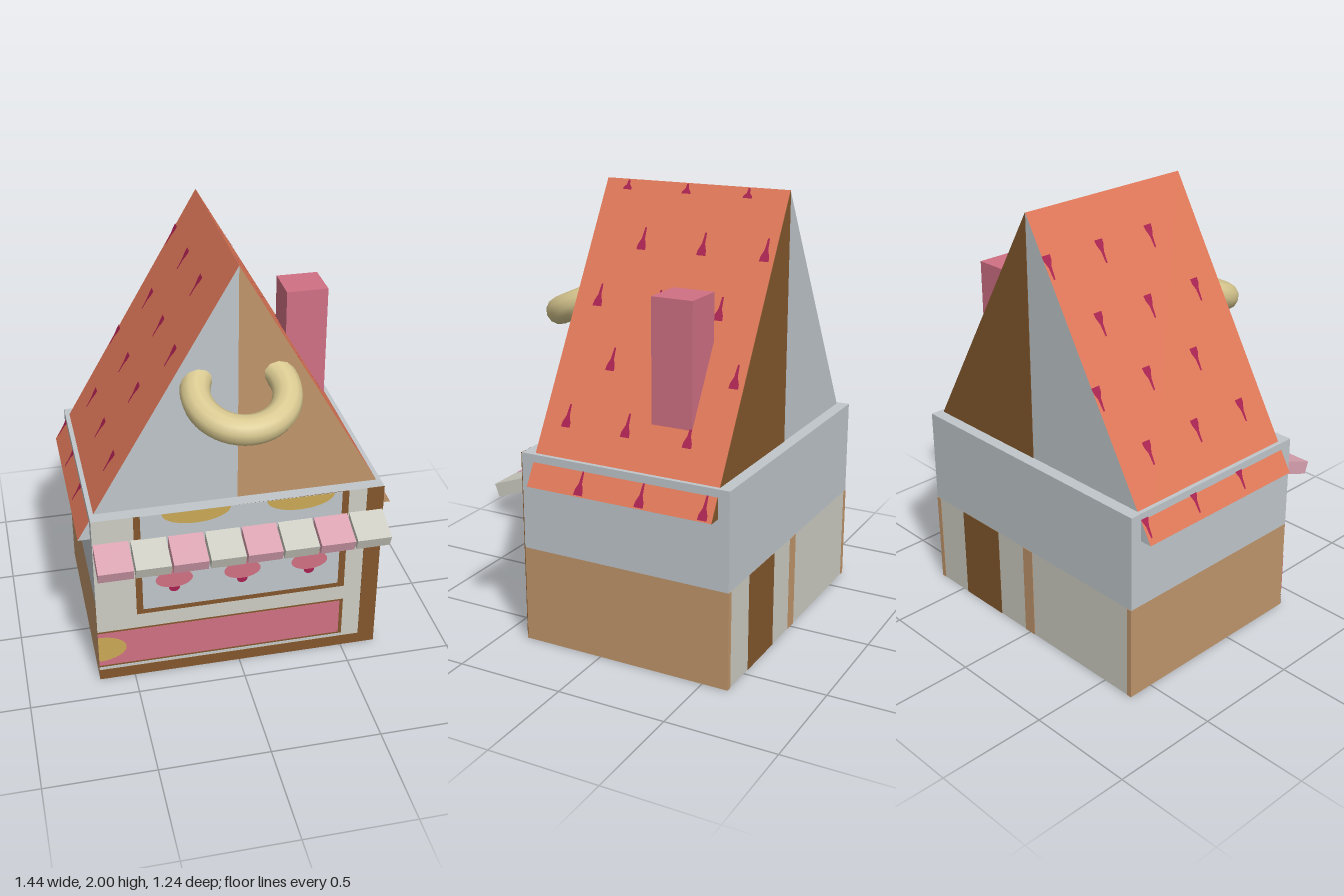
import * as THREE from 'three';

const mat = (name, color) => {
  const m = new THREE.MeshStandardMaterial({ color });
  m.name = name;
  return m;
};

export function createModel() {
  const grey = mat('blueGrey', 0xbfc6ca), tan = mat('tan', 0xc0966b), brown = mat('brown', 0x83572c);
  const cream = mat('offWhite', 0xcdcdc3), pink = mat('pink', 0xd07084), yellow = mat('yellow', 0xcba955);
  const crimson = mat('crimson', 0xa82050), orange = mat('orange', 0xe07858);
  const dough = mat('dough', 0xd8c890), rose = mat('rose', 0xdaa3b2);

  const model = new THREE.Group();
  model.name = 'sweetShop';
  const add = (name, geometry, material, parent = model) => {
    const mesh = new THREE.Mesh(geometry, material);
    mesh.name = name;
    parent.add(mesh);
    return mesh;
  };
  // Box given by its extents
  const block = (name, m, x0, x1, y0, y1, z0, z1, parent) => {
    const mesh = add(name, new THREE.BoxGeometry(x1 - x0, y1 - y0, z1 - z0), m, parent);
    mesh.position.set((x0 + x1) / 2, (y0 + y1) / 2, (z0 + z1) / 2);
    return mesh;
  };

  const W = 0.665, H = 0.89, SPLIT = 0.445, FRONT = 0.38, BACK = -0.62;

  // Walls: material order is +x, -x, top, bottom, front, back
  block('lowerWalls', [tan, tan, cream, cream, cream, cream], -W, W, 0, SPLIT, BACK, FRONT);
  block('upperWalls', [grey, grey, grey, grey, cream, grey], -W, W, SPLIT, H, BACK, FRONT);

  // Painted front, stacked in thin layers
  const front = new THREE.Group();
  front.name = 'paintedFront';
  model.add(front);
  const layerZ = (n) => FRONT + 0.0015 * n;
  const panel = (name, m, x0, x1, y0, y1, n) => block(name, m, x0, x1, y0, y1, FRONT - 0.002, layerZ(n), front);
  const oval = (name, m, x, y, rx, ry, n, from = 0, to = Math.PI * 2) => {
    const shape = new THREE.Shape();
    shape.absellipse(x, y, rx, ry, from, to, false, 0);
    add(name, new THREE.ShapeGeometry(shape, 24), m, front).position.z = layerZ(n);
  };
  panel('cornerPost', brown, 0.585, W, 0, H, 1);
  panel('baseBoard', brown, -W, 0.585, 0, 0.055, 1);
  panel('baseLine', grey, -W, 0.5, 0.062, 0.069, 1);
  panel('counterFrame', brown, -W, 0.5, 0.073, 0.278, 1);
  panel('counter', pink, -W, 0.483, 0.083, 0.27, 2);
  oval('counterSpot', yellow, -W, 0.18, 0.13, 0.07, 3, -Math.PI / 2, Math.PI / 2);
  panel('windowFrame', brown, -0.48, 0.5, 0.355, H, 1);
  panel('windowPane', grey, -0.45, 0.468, 0.38, H, 2);
  for (const x of [-0.2, 0.275]) oval('lamp', yellow, x, H, 0.155, 0.065, 3, Math.PI, Math.PI * 2);
  for (const x of [-0.305, 0.01, 0.325]) {
    panel('cupcakeCase', tan, x - 0.08, x + 0.08, 0.56, 0.67, 3);
    oval('cupcakeCherry', crimson, x, 0.487, 0.025, 0.025, 4);
    oval('cupcakeIcing', pink, x, 0.535, 0.085, 0.047, 5);
  }

  // Stripes running down the back and under the floor
  const stripes = [[brown, 0.205, 0.463], [tan, -0.033, 0.03], [tan, 0.64, W], [tan, -W, -0.64]];
  stripes.forEach(([m, x0, x1], i) => {
    block('backStripe', m, x0, x1, 0, SPLIT, BACK - 0.002, BACK + 0.002);
    if (i < 2) block('floorStripe', m, x0, x1, -0.002, 0.002, BACK, FRONT);
  });

  // Roof in two halves with differently coloured gables
  const EAVE = 0.72, LOW = 0.76, TOP = 2, RZ0 = -0.565, RZ1 = 0.32;
  const half = (s) => new THREE.Shape([[0, LOW], [s * EAVE, LOW], [0, TOP]].map(([x, y]) => new THREE.Vector2(x, y)));
  for (const [s, name, gable] of [[1, 'leftRoof', tan], [-1, 'rightRoof', grey]]) {
    const geo = new THREE.ExtrudeGeometry(half(s), { depth: RZ1 - RZ0, bevelEnabled: false });
    add(name, geo, [gable, orange]).position.z = RZ0;
  }
  const backGable = new THREE.ExtrudeGeometry(half(1), { depth: 0.002, bevelEnabled: false });
  add('backGable', backGable, brown).position.z = RZ0 - 0.002;

  // Small staggered marks on both slopes
  const outline = [[-0.022, -0.052], [0.022, -0.052], [0.02, -0.03], [0.008, 0.0], [0.004, 0.052],
    [-0.004, 0.052], [-0.008, 0.0], [-0.02, -0.03]];
  const markGeo = new THREE.ShapeGeometry(new THREE.Shape(outline.map(([x, y]) => new THREE.Vector2(x, y))));
  const marks = new THREE.Group();
  marks.name = 'roofMarks';
  model.add(marks);
  const placeMark = (s, y, z, stretch) => {
    const up = new THREE.Vector3(-s * EAVE, TOP - LOW, 0).normalize();
    const normal = new THREE.Vector3(s * (TOP - LOW), EAVE, 0).normalize();
    const across = new THREE.Vector3().crossVectors(up, normal);
    const mark = add('roofMark', markGeo, crimson, marks);
    mark.quaternion.setFromRotationMatrix(new THREE.Matrix4().makeBasis(across, up, normal));
    // Marks on the far slope point downwards
    if (s < 0) mark.rotateZ(Math.PI);
    mark.scale.y = stretch;
    mark.position.set(s * EAVE * (TOP - y) / (TOP - LOW), y, z).addScaledVector(normal, 0.003);
  };
  [1.976, 1.765, 1.527, 1.287, 1.05, 0.81].forEach((y, i) => {
    const z0 = i % 2 ? 0.064 : 0.207;
    for (let k = 0; k < 3; k++) placeMark(1, y, z0 - 0.293 * k, i ? 1 : 0.45);
  });
  [1.793, 1.548, 1.305, 1.06, 0.83].forEach((y, i) => {
    const z0 = i % 2 ? 0.177 : 0.03;
    for (let k = 0; k < 3; k++) placeMark(-1, y, z0 - 0.288 * k, 1);
  });

  // Chimney
  block('chimney', pink, 0.345, 0.54, 1.0, 1.615, -0.385, -0.195);

  // Ring sign leaning out of the front gable
  const ring = add('ringSign', new THREE.TorusGeometry(0.195, 0.065, 12, 48), dough);
  ring.position.set(0, 1.454, 0.377);
  ring.rotation.x = Math.PI / 2 + THREE.MathUtils.degToRad(24);

  // Awning of eight tilted slats in alternating colours
  const awning = new THREE.Group();
  awning.name = 'awning';
  model.add(awning);
  for (let i = 0; i < 8; i++) {
    const slat = add('awningSlat', new THREE.BoxGeometry(0.157, 0.06, 0.19), i % 2 ? cream : rose, awning);
    slat.position.set((i - 3.5) * 0.1665, 0.7195, 0.431);
    slat.rotation.x = THREE.MathUtils.degToRad(20);
  }

  return model;
}
